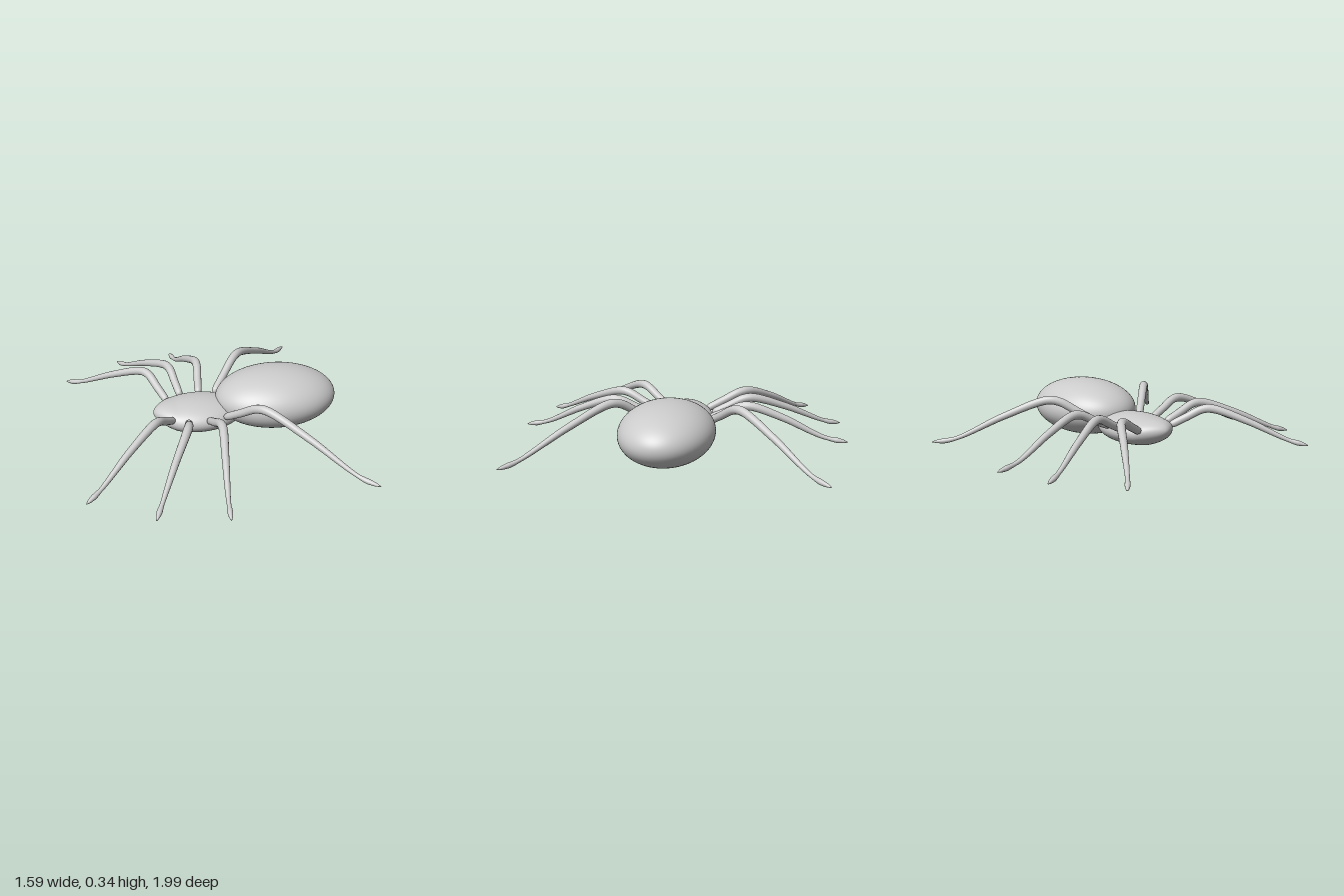
import * as THREE from 'three';
import { mergeVertices } from 'three/addons/utils/BufferGeometryUtils.js';

const material = new THREE.MeshStandardMaterial({ color: 0xcccccc, roughness: 0.8 });

// Leg thickness along its length: rounded hip, thick knee, thin ankle, swollen foot, pointed tip
const THICKNESS = [
  [0, 0.001], [0.008, 0.014], [0.022, 0.021], [0.04, 0.023], [0.29, 0.026], [0.4, 0.024],
  [0.65, 0.019], [0.87, 0.012], [0.93, 0.016], [0.97, 0.011], [1, 0.002],
];

function thicknessAt(u) {
  let i = 1;
  while (i < THICKNESS.length - 1 && THICKNESS[i][0] < u) i++;
  const [u0, r0] = THICKNESS[i - 1];
  const [u1, r1] = THICKNESS[i];
  return THREE.MathUtils.lerp(r0, r1, (u - u0) / (u1 - u0));
}

// Smooth tapered tube through hip, knee, ankle and tip
function legGeometry(hip, knee, ankle, tip) {
  const [h, k, a, t] = [hip, knee, ankle, tip].map((p) => new THREE.Vector3(...p));
  const shin = k.clone().lerp(a, 0.5);
  shin.y += 0.012;
  const curve = new THREE.CatmullRomCurve3([
    h, h.clone().lerp(k, 0.45), h.clone().lerp(k, 0.86), k.clone().lerp(a, 0.06), shin, a, t,
  ]);
  const rings = 110, sides = 14;
  const geo = new THREE.TubeGeometry(curve, rings, 1, sides, false);
  const pos = geo.attributes.position;
  const v = new THREE.Vector3();
  for (let i = 0; i <= rings; i++) {
    const c = curve.getPointAt(i / rings);
    const r = thicknessAt(i / rings);
    for (let j = 0; j <= sides; j++) {
      const n = i * (sides + 1) + j;
      v.fromBufferAttribute(pos, n).sub(c).multiplyScalar(r).add(c);
      pos.setXYZ(n, v.x, v.y, v.z);
    }
  }
  geo.deleteAttribute('uv');
  geo.deleteAttribute('normal');
  const smooth = mergeVertices(geo, 1e-5);
  smooth.computeVertexNormals();
  return smooth;
}

// Sphere with its poles on the x axis
function ovalGeometry() {
  return new THREE.SphereGeometry(1, 56, 40).rotateZ(Math.PI / 2);
}

// Head and thorax: an oval narrowed and raised towards the head end
function thoraxGeometry() {
  const geo = ovalGeometry();
  const pos = geo.attributes.position;
  for (let i = 0; i < pos.count; i++) {
    const x = pos.getX(i);
    const front = Math.max(0, (-x - 0.5) / 0.5);
    const narrow = 1 - 0.35 * front * front;
    pos.setXYZ(i,
      -0.055 + 0.27 * x,
      0.108 + 0.092 * pos.getY(i) + 0.02 * front,
      0.185 * pos.getZ(i) * narrow);
  }
  geo.deleteAttribute('uv');
  geo.deleteAttribute('normal');
  const smooth = mergeVertices(geo, 1e-5);
  smooth.computeVertexNormals();
  return smooth;
}

// Hip, knee, ankle and tip of each leg, head end first
const LEGS = {
  front: [
    [[-0.222, 0.13, 0.115], [-0.355, 0.24, 0.3], [-0.71, 0.048, 0.63], [-0.795, 0.018, 0.705]],
    [[-0.14, 0.133, 0.165], [-0.182, 0.24, 0.39], [-0.415, 0.045, 0.845], [-0.453, 0.02, 0.928]],
    [[-0.02, 0.135, 0.165], [0.01, 0.24, 0.4], [-0.057, 0.045, 0.86], [-0.071, 0.015, 0.995]],
    [[0.075, 0.135, 0.145], [0.255, 0.29, 0.345], [0.7, 0.045, 0.785], [0.793, 0.025, 0.868]],
  ],
  back: [
    [[-0.222, 0.13, -0.12], [-0.32, 0.24, -0.345], [-0.71, 0.05, -0.64], [-0.797, 0.02, -0.717]],
    [[-0.133, 0.133, -0.17], [-0.17, 0.24, -0.39], [-0.393, 0.045, -0.84], [-0.438, 0.02, -0.938]],
    [[-0.02, 0.135, -0.17], [0.014, 0.24, -0.4], [-0.053, 0.045, -0.85], [-0.067, 0.015, -0.995]],
    [[0.075, 0.135, -0.165], [0.262, 0.29, -0.38], [0.64, 0.045, -0.825], [0.73, 0.025, -0.928]],
  ],
};

export function createModel() {
  const model = new THREE.Group();
  model.name = 'spider';
  const add = (name, geometry) => {
    const mesh = new THREE.Mesh(geometry, material);
    mesh.name = name;
    model.add(mesh);
  };

  add('thorax', thoraxGeometry());
  add('abdomen', ovalGeometry().scale(0.367, 0.172, 0.272).translate(0.422, 0.175, 0));

  for (const [side, legs] of Object.entries(LEGS)) {
    legs.forEach((joints, i) => add(`${side}Leg${i + 1}`, legGeometry(...joints)));
  }
  return model;
}
